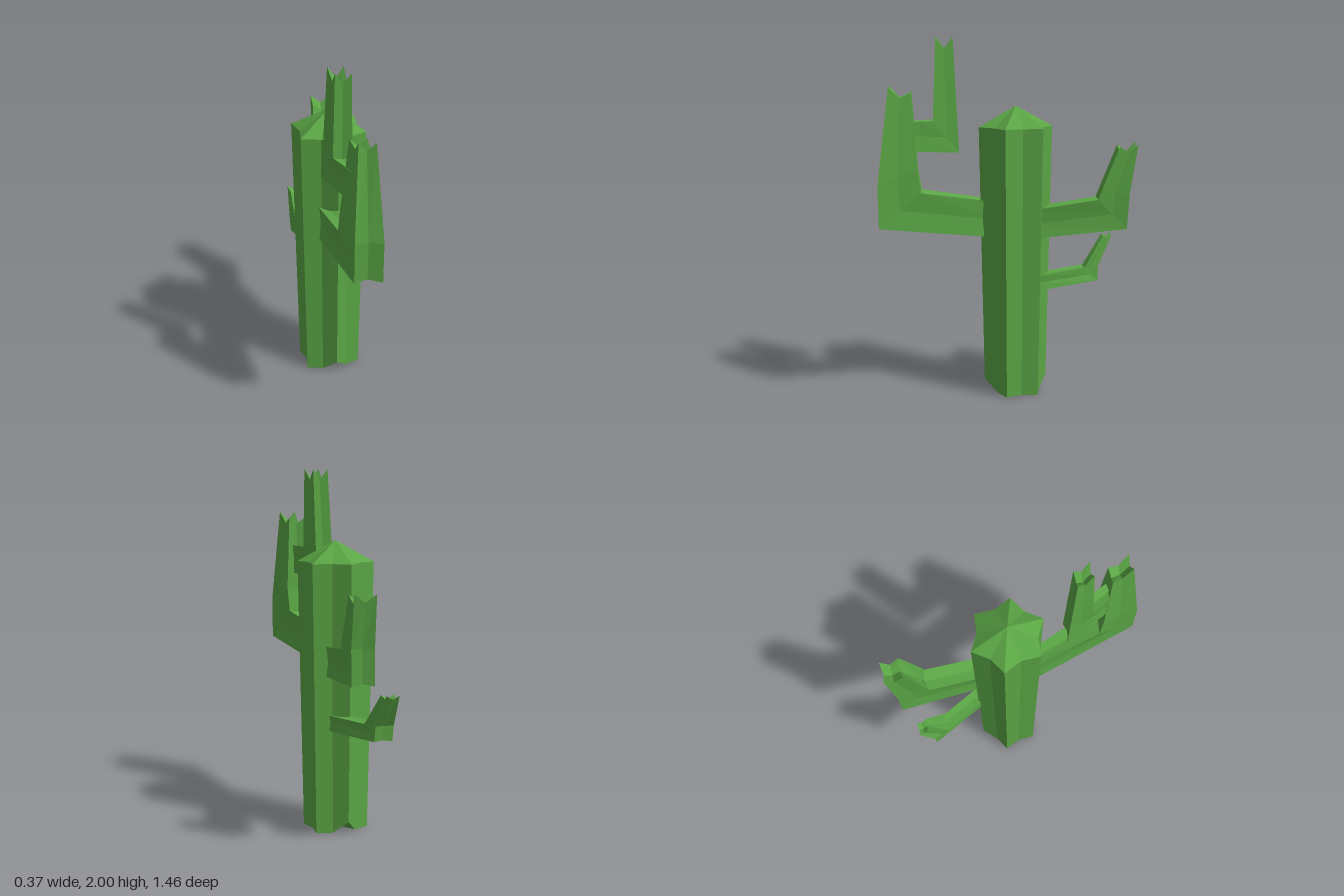
import * as THREE from 'three';

const green = new THREE.MeshStandardMaterial({ color: 0x5aa545, flatShading: true, side: THREE.DoubleSide });

// Skin a stack of equal-sized rings and close each end with a fan to a centre point.
function loft(name, rings, startCentre, endCentre) {
  const n = rings[0].length;
  const points = [...rings.flat(), startCentre, endCentre];
  const start = rings.length * n, end = start + 1, last = start - n;
  const index = [];
  for (let i = 0; i < n; i++) {
    const j = (i + 1) % n;
    for (let r = 0; r < rings.length - 1; r++) {
      const a = r * n, b = a + n;
      index.push(a + i, a + j, b + j, a + i, b + j, b + i);
    }
    index.push(start, j, i, end, last + i, last + j);
  }
  const geometry = new THREE.BufferGeometry().setFromPoints(points);
  geometry.setIndex(index);
  const flat = geometry.toNonIndexed();
  flat.computeVertexNormals();
  const mesh = new THREE.Mesh(flat, green);
  mesh.name = name;
  return mesh;
}

const centreOf = ring => ring.reduce((s, p) => s.add(p), new THREE.Vector3()).divideScalar(ring.length);

// Four-cornered section with sides pinched inward; outer and inner are its spine points.
function section([outer, inner, halfWidth], dir) {
  const side = new THREE.Vector3(0.97, 0, 0.2).multiplyScalar(dir * halfWidth);
  const o = new THREE.Vector3(...outer), i = new THREE.Vector3(...inner);
  const corners = [o.clone().sub(side), o.clone().add(side), i.clone().add(side), i.clone().sub(side)];
  const centre = centreOf(corners);
  return corners.flatMap((c, k) => [c, c.clone().lerp(corners[(k + 1) % 4], 0.5).lerp(centre, 0.14)]);
}

// Arm with a jagged, hollow crown. dir is 1 for arms growing forward, -1 for backward.
function arm(name, dir, notch, sections) {
  const rings = sections.map(s => section(s, dir));
  const crown = rings[rings.length - 1];
  crown.forEach((p, k) => { if (k % 2) p.y -= notch; });
  const floor = centreOf(crown);
  floor.y -= notch * 1.2;
  return loft(name, rings, centreOf(rings[0]), floor);
}

// Ribbed trunk outline with six ridges
function trunkRing(y, scale, ridgeLift = 0) {
  return Array.from({ length: 12 }, (_, i) => {
    const a = i * Math.PI / 6, r = (i % 2 ? 0.16 : 0.21) * scale;
    return new THREE.Vector3(-0.01 + r * Math.sin(a), y + (i % 6 ? 0 : ridgeLift), -0.05 + r * Math.cos(a));
  });
}

export function createModel() {
  const model = new THREE.Group();
  model.name = 'cactus';

  model.add(loft('trunk', [trunkRing(0, 0.86, 0.07), trunkRing(1.51, 1)],
    new THREE.Vector3(-0.01, 0, -0.05), new THREE.Vector3(-0.01, 1.625, -0.05)));

  // Each section: outer point, inner point, half width
  model.add(arm('frontArm', 1, 0.045, [
    [[-0.05, 0.89, 0.05], [-0.05, 1.09, 0.05], 0.05],
    [[-0.012, 0.98, 0.715], [-0.03, 1.165, 0.48], 0.075],
    [[-0.012, 1.21, 0.72], [-0.025, 1.3, 0.5], 0.075],
    [[-0.01, 1.74, 0.655], [-0.02, 1.71, 0.53], 0.045],
  ]));
  model.add(arm('frontArmBranch', -1, 0.06, [
    [[-0.025, 1.39, 0.57], [-0.025, 1.55, 0.57], 0.045],
    [[-0.05, 1.385, 0.48], [-0.045, 1.55, 0.48], 0.045],
    [[-0.083, 1.37, 0.255], [-0.062, 1.55, 0.405], 0.05],
    [[-0.068, 2, 0.29], [-0.055, 2, 0.388], 0.042],
  ]));
  model.add(arm('largeBackArm', -1, 0.045, [
    [[0.03, 0.89, -0.12], [0.03, 1.05, -0.12], 0.06],
    [[0.11, 0.935, -0.66], [0.093, 1.105, -0.495], 0.062],
    [[0.117, 1.13, -0.67], [0.097, 1.16, -0.515], 0.062],
    [[0.125, 1.415, -0.715], [0.11, 1.4, -0.612], 0.058],
  ]));
  model.add(arm('smallBackArm', -1, 0.02, [
    [[0.045, 0.588, -0.15], [0.045, 0.675, -0.15], 0.045],
    [[-0.06, 0.605, -0.55], [-0.045, 0.685, -0.46], 0.05],
    [[-0.065, 0.69, -0.555], [-0.047, 0.7, -0.475], 0.05],
    [[-0.07, 0.868, -0.64], [-0.065, 0.865, -0.585], 0.035],
  ]));
  return model;
}
